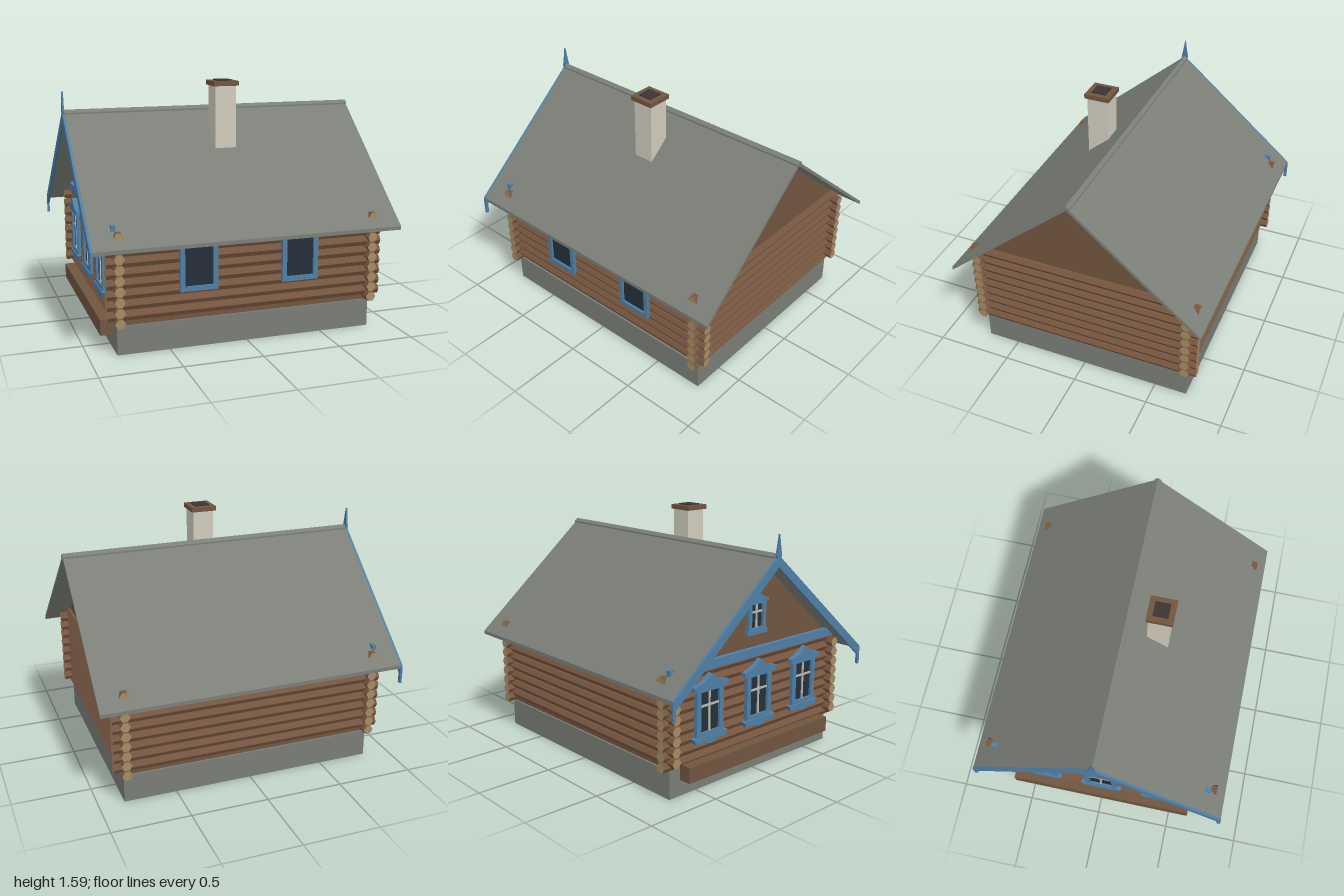
import * as THREE from 'three';

const mat = (name, color) => {
  const m = new THREE.MeshStandardMaterial({ color });
  m.name = name;
  return m;
};

export function createModel() {
  const log = mat('log brown', 0x775740);
  const logEnd = mat('log end tan', 0xa58b64);
  const plank = mat('plank brown', 0x70553f);
  const stone = mat('foundation grey', 0x7a7d76);
  const roofing = mat('roof grey', 0x7c7f78);
  const blue = mat('trim blue', 0x4f7fa5);
  const glass = mat('dark glass', 0x25303a);
  const cream = mat('chimney cream', 0xd0ccbd);
  const bar = mat('window bar grey', 0xb9b9b2);
  const soot = mat('flue dark', 0x3c3530);

  const model = new THREE.Group();
  model.name = 'logCabin';

  const add = (parent, name, geo, material) => {
    const m = new THREE.Mesh(geo, material);
    m.name = name;
    parent.add(m);
    return m;
  };
  // Box given by its limits on each axis
  const box = (parent, name, material, x0, x1, y0, y1, z0, z1) => {
    const m = add(parent, name, new THREE.BoxGeometry(x1 - x0, y1 - y0, z1 - z0), material);
    m.position.set((x0 + x1) / 2, (y0 + y1) / 2, (z0 + z1) / 2);
    return m;
  };
  const shape = (pts) => new THREE.Shape(pts.map((p) => new THREE.Vector2(p[0], p[1])));
  const extrude = (pts, depth, hole) => {
    const s = shape(pts);
    if (hole) s.holes.push(shape(hole));
    return new THREE.ExtrudeGeometry(s, { depth, bevelEnabled: false });
  };
  // Outline in (z, y) extruded from x0 to x1
  const acrossX = (parent, name, material, pts, x0, x1) => {
    const geo = extrude(pts.map(([z, y]) => [-z, y]), x1 - x0);
    geo.rotateY(Math.PI / 2);
    geo.translate(x0, 0, 0);
    return add(parent, name, geo, material);
  };
  const rect = (x0, x1, y0, y1) => [[x0, y0], [x1, y0], [x1, y1], [x0, y1]];

  // Foundation and inner wall core
  const CX = 0.005;
  box(model, 'foundation', stone, CX - 0.833, CX + 0.833, 0, 0.18, -0.713, 0.713);
  box(model, 'wallCore', plank, CX - 0.815, CX + 0.815, 0.18, 0.75, -0.7, 0.7);

  // Six-sided logs, interlocking at the corners
  const logs = new THREE.Group();
  logs.name = 'logWalls';
  model.add(logs);
  const R = 0.033, STEP = 0.0658;
  const logGeometry = (length, alongZ) => {
    let g = new THREE.CylinderGeometry(R, R, length, 6);
    g.rotateZ(Math.PI / 2);
    if (alongZ) g.rotateY(Math.PI / 2);
    g = g.toNonIndexed();
    g.computeVertexNormals();
    return g;
  };
  const longLog = logGeometry(1.79, false);
  const sideLog = logGeometry(1.55, true);
  const logMaterials = [log, logEnd, logEnd];
  for (const s of [-1, 1]) {
    for (let i = 0; i < 8; i++) {
      add(logs, 'longLog', longLog, logMaterials).position.set(CX, 0.248 + i * STEP, s * 0.71);
    }
    for (let i = 0; i < 9; i++) {
      add(logs, 'sideLog', sideLog, logMaterials).position.set(CX + s * 0.823, 0.215 + i * STEP, 0);
    }
  }

  // Gable block under the roof
  acrossX(model, 'gable', plank, [[-0.73, 0.745], [0.73, 0.745], [0, 1.37]], CX - 0.823, CX + 0.823);

  // Roof: folded slab with ridge cap
  const chevron = (w, top, eave, t) => [
    [0, top], [-w, eave], [-w, eave - t], [0, top - t], [w, eave - t], [w, eave],
  ];
  acrossX(model, 'roof', roofing, chevron(0.835, 1.394, 0.685, 0.024), -0.985, 0.992);
  acrossX(model, 'ridgeCap', roofing, chevron(0.022, 1.405, 0.392 + 0.994, 0.02), -0.985, 0.995);

  // Blue barge boards, hanging tails and finial on the decorated gable
  acrossX(model, 'bargeBoards', blue, chevron(0.838, 1.394, 0.682, 0.07), -1, -0.985);
  for (const s of [-1, 1]) {
    const tail = [[0.82, 0.56], [0.84, 0.56], [0.84, 0.67], [0.82, 0.67]].map(([z, y]) => [s * z, y]);
    acrossX(model, 'bargeTail', blue, tail, -1, -0.985);
  }
  acrossX(model, 'finial', blue,
    [[-0.015, 1.37], [0.015, 1.37], [0.023, 1.395], [0.012, 1.45], [0, 1.52], [-0.012, 1.45], [-0.023, 1.395]],
    -1, -0.988);

  // Frieze board across the decorated gable
  box(model, 'friezeBoard', blue, -0.855, -0.828, 0.75, 0.805, -0.735, 0.735);

  // Window facing +z, origin at its centre
  const makeWindow = (name, w, h, border, barred) => {
    const g = new THREE.Group();
    g.name = name;
    const a = w / 2, b = h / 2, c = a - border, d = b - border;
    add(g, 'windowFrame', extrude(rect(-a, a, -b, b), 0.025, rect(-c, c, -d, d)), blue);
    box(g, 'windowGlass', glass, -c, c, -d, d, 0.003, 0.01);
    if (barred) {
      box(g, 'uprightBar', bar, -0.006, 0.006, -d, d, 0.01, 0.018);
      box(g, 'crossBar', bar, -c, c, d * 0.25, d * 0.25 + 0.012, 0.01, 0.018);
    }
    model.add(g);
    return g;
  };

  // Two plain windows on the front
  for (const x of [-0.325, 0.335]) {
    makeWindow('frontWindow', 0.24, 0.3, 0.03, false).position.set(x, 0.52, 0.735);
  }

  // Three ornate windows on the decorated gable
  for (const z of [-0.425, 0, 0.425]) {
    const w = makeWindow('ornateWindow', 0.22, 0.32, 0.034, true);
    w.position.set(-0.848, 0.5, z);
    w.rotation.y = -Math.PI / 2;
    add(w, 'windowCrown', extrude([
      [-0.14, 0.14], [0.14, 0.14], [0.14, 0.17], [0.09, 0.18], [0.045, 0.2], [0, 0.235],
      [-0.045, 0.2], [-0.09, 0.18], [-0.14, 0.17]], 0.035), blue);
    add(w, 'windowApron', extrude([
      [-0.14, -0.15], [-0.12, -0.185], [-0.05, -0.185], [0, -0.205], [0.05, -0.185], [0.12, -0.185], [0.14, -0.15]],
      0.032), blue);
  }

  // Small attic window
  const attic = makeWindow('atticWindow', 0.15, 0.2, 0.026, true);
  attic.position.set(-0.817, 1.0, 0);
  attic.rotation.y = -Math.PI / 2;
  add(attic, 'atticCrown', extrude([[-0.09, 0.085], [0.09, 0.085], [0.09, 0.1], [0, 0.145], [-0.09, 0.1]], 0.03), blue);
  box(attic, 'atticSill', blue, -0.088, 0.088, -0.115, -0.09, 0, 0.03);

  // Low earth bench along the decorated gable
  box(model, 'wallBench', plank, -0.913, -0.83, 0.105, 0.205, -0.63, 0.63);

  // Chimney with cap and flue
  box(model, 'chimney', cream, -0.063, 0.075, 1.1, 1.555, 0.142, 0.283);
  box(model, 'chimneyCap', plank, -0.079, 0.088, 1.552, 1.582, 0.13, 0.298);
  box(model, 'flue', soot, -0.043, 0.053, 1.58, 1.589, 0.165, 0.262);

  return model;
}
